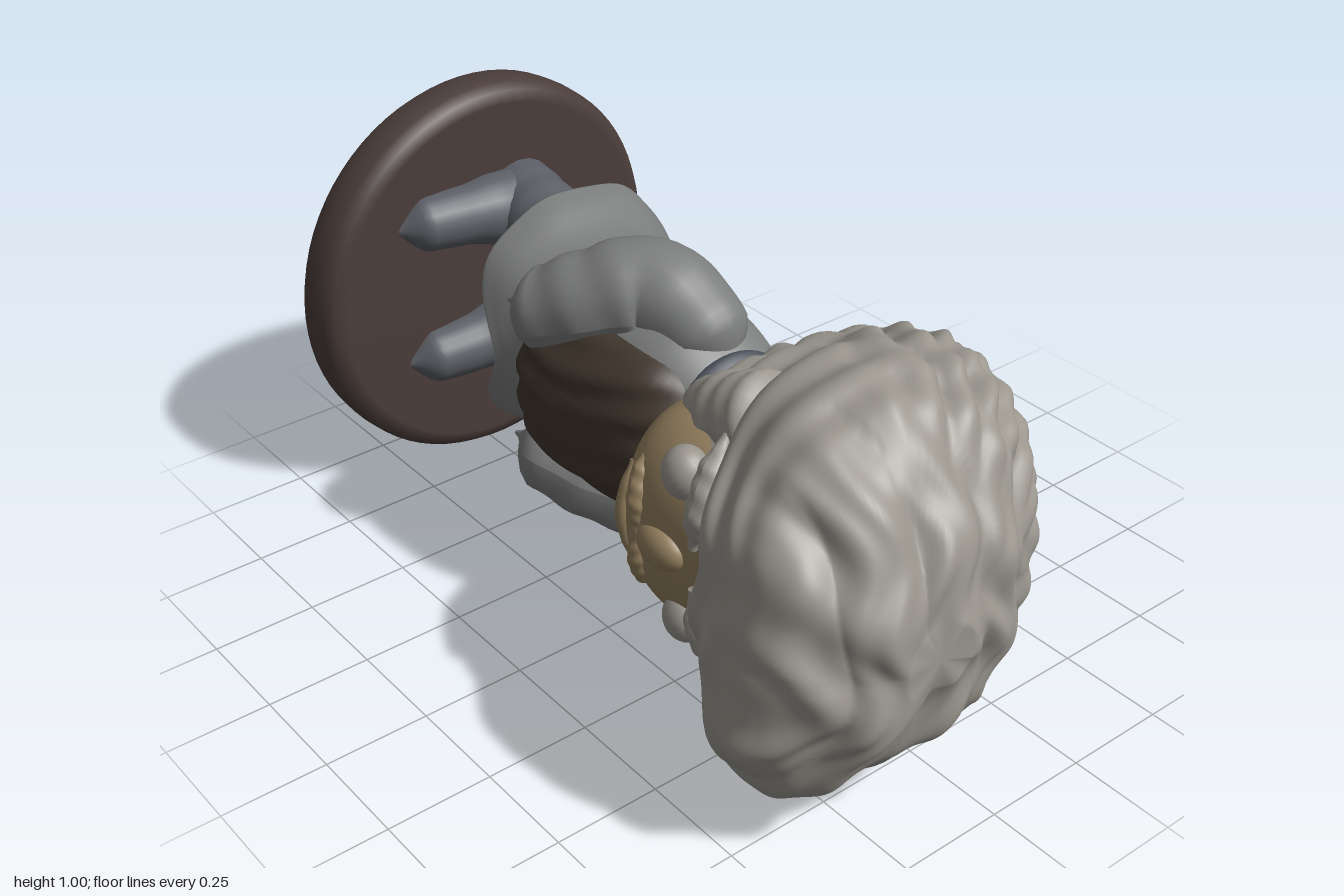
import * as THREE from 'three';

const material = (color) => new THREE.MeshStandardMaterial({ color, roughness: 0.9, side: THREE.DoubleSide });
const MAT = {
  base: material(0x4a3d3a), trousers: material(0x5c5f66), coat: material(0x7c7d7d),
  vest: material(0x40362d), collar: material(0x4c525c), skin: material(0x94805f), hair: material(0x9b978f),
};
const smooth = THREE.MathUtils.smoothstep;

function add(parent, name, geometry, mat, pos = [0, 0, 0], scale = [1, 1, 1]) {
  const mesh = new THREE.Mesh(geometry, mat);
  mesh.name = name;
  mesh.position.set(...pos);
  mesh.scale.set(...scale);
  parent.add(mesh);
  return mesh;
}

// Smooth value of a list at t in 0..1
function sample(list, t) {
  const f = t * (list.length - 1), i = Math.min(Math.floor(f), list.length - 2), k = f - i;
  return list[i] + (list[i + 1] - list[i]) * k * k * (3 - 2 * k);
}

// Closed skin through rings of [height, half width, back z, front z]; rule(p, angle, t) reshapes points
function loft(rings, rows, cols, rule) {
  const low = new THREE.CatmullRomCurve3(rings.map(([y, w, b]) => new THREE.Vector3(w, y, b)));
  const high = new THREE.CatmullRomCurve3(rings.map(([y, w, , f]) => new THREE.Vector3(w, y, f)));
  const pos = [], index = [], centres = [], p = new THREE.Vector3();
  for (let i = 0; i <= rows; i++) {
    const t = i / rows, A = low.getPoint(t), B = high.getPoint(t);
    const zc = (A.z + B.z) / 2, d = (B.z - A.z) / 2;
    if (i === 0 || i === rows) centres.push([0, A.y, zc]);
    for (let j = 0; j < cols; j++) {
      const a = j / cols * Math.PI * 2, c = Math.cos(a), s = Math.sin(a);
      p.set(A.x * Math.sign(c) * Math.abs(c) ** 0.88, A.y, zc + d * Math.sign(s) * Math.abs(s) ** 0.88);
      if (rule) rule(p, a, t);
      pos.push(p.x, p.y, p.z);
      if (i === rows) continue;
      const q = i * cols + j, r = i * cols + (j + 1) % cols;
      index.push(q, q + cols, r, r, q + cols, r + cols);
    }
  }
  const n = pos.length / 3, last = rows * cols;
  pos.push(...centres[0], ...centres[1]);
  for (let j = 0; j < cols; j++) {
    const k = (j + 1) % cols;
    index.push(n, j, k, n + 1, last + k, last + j);
  }
  const g = new THREE.BufferGeometry();
  g.setAttribute('position', new THREE.Float32BufferAttribute(pos, 3));
  g.setIndex(index);
  g.computeVertexNormals();
  return g;
}

// Tube whose radius varies along its path
function limb(points, radii, folds = 0) {
  const curve = new THREE.CatmullRomCurve3(points.map((q) => new THREE.Vector3(...q)));
  const n = 40, sides = 20, g = new THREE.TubeGeometry(curve, n, 1, sides);
  const p = g.attributes.position, v = new THREE.Vector3();
  for (let i = 0; i < p.count; i++) {
    const t = Math.floor(i / (sides + 1)) / n, c = curve.getPointAt(t);
    v.fromBufferAttribute(p, i).sub(c);
    v.multiplyScalar(sample(radii, t) * (1 + folds * Math.sin(t * 38 + v.y * 2))).add(c);
    p.setXYZ(i, v.x, v.y, v.z);
  }
  g.computeVertexNormals();
  return g;
}

// Curled strands down the back, broad sideways rolls over the crown, waves and a one-sided sweep at the front
function hairRule(p, a, t) {
  const back = smooth(-Math.sin(a), -0.2, 0.35) * (1 - smooth(p.y, 0.72, 0.93));
  const crown = smooth(p.y, 0.6, 0.8);
  const strands = 0.036 * Math.abs(Math.sin(a * 13 + 0.5 * Math.sin(p.y * 24))) - 0.018
    + 0.006 * Math.sin(p.y * 60 + 3 * Math.sin(a * 5));
  const z = p.z + 0.012 * Math.sin(p.x * 15);
  const rolls = 0.024 * Math.abs(Math.sin((z - 0.04) * 18.5)) - 0.016
    + 0.008 * Math.sin(p.x * 30 + 2 * Math.sin(z * 16)) + 0.004 * Math.sin(z * 75 + 2 * Math.sin(p.x * 21));
  const waves = 0.011 * Math.sin(p.y * 50 + 1.8 * Math.sin(p.x * 14)) + 0.009 * Math.sin(p.x * 27 + p.y * 11);
  const amount = Math.min(1, t * 6) * (back * strands + (1 - back) * (crown * rolls + (1 - crown) * waves));
  const dir = new THREE.Vector3(p.x, p.y - 0.5, p.z - 0.08).normalize();
  const sweep = 0.25 * Math.max(0, p.x) * smooth(Math.sin(a), -0.1, 0.5) * smooth(p.y, 0.5, 0.66);
  p.addScaledVector(dir, amount);
  p.z += sweep;
  p.y = Math.min(p.y, 1);
}

export function createModel() {
  const model = new THREE.Group();
  model.name = 'lyingFigurine';
  // The figurine is built upright, then laid on its side
  const figure = new THREE.Group();
  figure.name = 'figurine';
  figure.rotation.z = -Math.PI / 2;
  figure.position.y = 0.5;
  model.add(figure);

  // Round stand with softened rims
  const rim = [[0, -0.075], [0.45, -0.075], [0.48, -0.066], [0.497, -0.04], [0.5, 0],
    [0.497, 0.04], [0.48, 0.066], [0.45, 0.075], [0, 0.075]];
  const stand = add(figure, 'stand', new THREE.LatheGeometry(rim.map((q) => new THREE.Vector2(...q)), 72),
    MAT.base, [0, -0.903, -0.027]);
  stand.rotation.x = -0.045;

  // Body, shifted a touch to one side
  const body = new THREE.Group();
  body.name = 'body';
  body.position.x = -0.02;
  figure.add(body);

  const coat = loft([
    [-0.46, 0.2, -0.22, 0.12], [-0.48, 0.27, -0.31, 0.19], [-0.55, 0.305, -0.355, 0.23],
    [-0.5, 0.295, -0.34, 0.225], [-0.4, 0.255, -0.3, 0.215], [-0.25, 0.25, -0.25, 0.225],
    [-0.1, 0.265, -0.205, 0.235], [0.05, 0.25, -0.185, 0.21], [0.14, 0.2, -0.165, 0.175],
    [0.22, 0.13, -0.12, 0.14],
  ], 54, 80, (p, a, t) => {
    // Front opening at the hem and soft vertical folds
    const low = Math.max(0, 1 - t * 1.7);
    if (Math.sin(a) > 0) p.y += 0.17 * low * Math.exp(-((p.x / 0.11) ** 2));
    const fold = 1 + 0.018 * Math.sin(a * 9) * low;
    p.x *= fold;
    p.z *= fold;
  });
  add(body, 'coat', coat, MAT.coat);

  add(body, 'vest', loft([
    [-0.36, 0.12, 0.05, 0.18], [-0.32, 0.18, 0.03, 0.255], [-0.2, 0.205, 0, 0.285], [-0.05, 0.21, 0, 0.275],
    [0.08, 0.19, 0, 0.24], [0.17, 0.13, 0, 0.18],
  ], 30, 64, (p, a) => {
    if (Math.sin(a) > 0) p.z += 0.007 * Math.sin(p.x * 75 + 2 * Math.sin(p.y * 9));
  }), MAT.vest);

  const collar = add(body, 'collar', new THREE.TorusGeometry(0.16, 0.026, 14, 48), MAT.collar,
    [0, 0.16, 0.01], [1.1, 0.95, 1]);
  collar.rotation.x = Math.PI / 2 + 0.1;

  for (const side of [1, -1]) {
    const name = side > 0 ? 'right' : 'left';
    const path = (pts) => pts.map(([x, y, z]) => [x * side, y, z]);

    // Sleeve bent at the elbow, forearm turned to the front
    add(body, name + 'Arm', limb(path([
      [0.13, 0.14, 0], [0.2, 0.06, 0], [0.26, -0.08, 0.03], [0.23, -0.19, 0.13], [0.19, -0.29, 0.2], [0.18, -0.385, 0.225],
    ]), [0.01, 0.1, 0.115, 0.125, 0.115, 0.1, 0.005], 0.018), MAT.coat);

    // Trouser leg and shoe
    add(body, name + 'Leg', limb(path([
      [0.11, -0.36, -0.08], [0.135, -0.52, -0.09], [0.15, -0.68, -0.1], [0.16, -0.86, -0.115],
    ]), [0.1, 0.1, 0.095, 0.105, 0.11], 0.015), MAT.trousers);
    add(body, name + 'Shoe', limb(path([
      [0.16, -0.83, -0.21], [0.165, -0.81, -0.1], [0.18, -0.81, 0.06], [0.185, -0.82, 0.18], [0.185, -0.83, 0.27],
    ]), [0.005, 0.095, 0.09, 0.075, 0.07, 0.005]), MAT.trousers);
  }

  // Head
  const head = new THREE.Group();
  head.name = 'head';
  figure.add(head);
  add(head, 'hair', loft([
    [0.18, 0.11, -0.08, 0.15], [0.2, 0.18, -0.15, 0.21], [0.25, 0.25, -0.235, 0.275], [0.35, 0.32, -0.31, 0.33],
    [0.45, 0.375, -0.355, 0.365], [0.52, 0.41, -0.375, 0.41], [0.6, 0.435, -0.355, 0.45], [0.73, 0.435, -0.3, 0.49],
    [0.82, 0.38, -0.235, 0.475], [0.9, 0.295, -0.13, 0.43], [0.96, 0.195, 0, 0.37], [0.99, 0.07, 0.11, 0.27],
  ], 130, 220, hairRule), MAT.hair);

  add(head, 'face', loft([
    [0.17, 0.1, 0.05, 0.25], [0.19, 0.18, 0.03, 0.32], [0.25, 0.235, 0, 0.375], [0.33, 0.26, 0, 0.39],
    [0.42, 0.26, 0, 0.38], [0.5, 0.23, 0, 0.36],
  ], 24, 64), MAT.skin);
  add(head, 'nose', new THREE.SphereGeometry(1, 24, 16), MAT.skin, [0, 0.37, 0.375], [0.05, 0.07, 0.04]);
  add(head, 'mouth', limb([[-0.13, 0.235, 0.345], [0, 0.225, 0.365], [0.13, 0.235, 0.345]],
    [0.005, 0.015, 0.018, 0.015, 0.005]), MAT.skin);

  for (const side of [1, -1]) {
    const name = side > 0 ? 'right' : 'left';
    add(head, name + 'Eye', new THREE.SphereGeometry(1, 24, 16), MAT.hair,
      [0.18 * side, 0.4, 0.335], [0.06, 0.055, 0.05]);
    add(head, name + 'Brow', limb([[0.05 * side, 0.47, 0.375], [0.17 * side, 0.49, 0.36], [0.28 * side, 0.46, 0.28]],
      [0.01, 0.035, 0.035, 0.01], 0.05), MAT.hair);
    add(head, name + 'Moustache', limb([[0, 0.295, 0.375], [0.09 * side, 0.29, 0.37], [0.18 * side, 0.265, 0.32]],
      [0.02, 0.027, 0.024, 0.004], 0.05), MAT.skin);
    // Locks hanging beside the cheek
    add(head, name + 'SideLock', limb([[0.31 * side, 0.55, 0.18], [0.265 * side, 0.42, 0.19], [0.225 * side, 0.31, 0.18],
      [0.17 * side, 0.22, 0.15]], [0.03, 0.1, 0.09, 0.07, 0.01], 0.025), MAT.hair);
  }
  return model;
}
